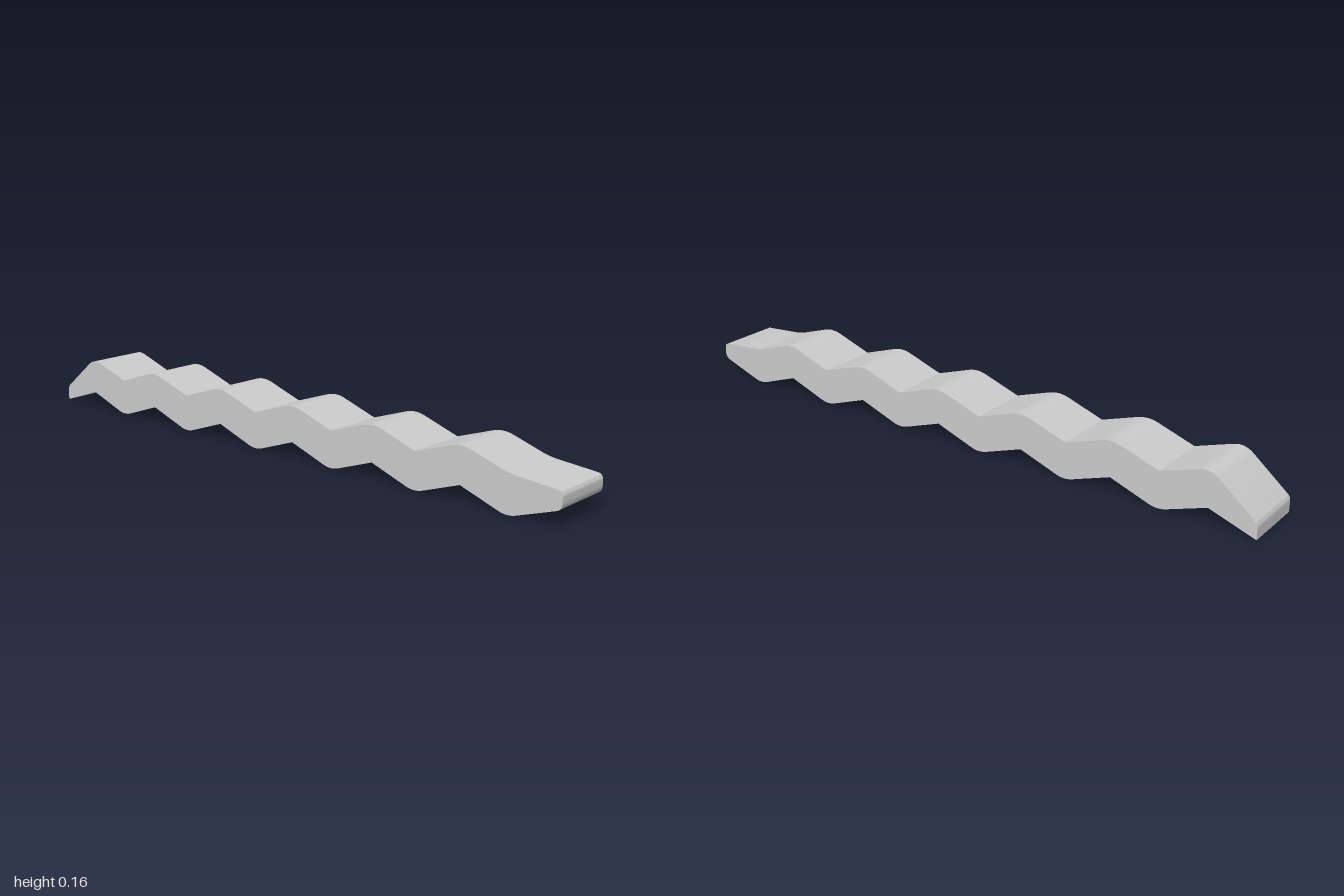
import * as THREE from 'three';
import { toCreasedNormals } from 'three/addons/utils/BufferGeometryUtils.js';

const PITCH = 0.307;   // length of one wave
const DEPTH = 0.2;

// Closed outline from [x, y, roundingLength] corners; zero rounding keeps a corner sharp
function roundedOutline(corners) {
  const pts = corners.map(([x, y]) => new THREE.Vector2(x, y));
  const n = pts.length;
  const toward = (a, b, d) => a.clone().add(b.clone().sub(a).setLength(d));
  const shape = new THREE.Shape();
  pts.forEach((p, i) => {
    const r = corners[i][2];
    const start = r ? toward(p, pts[(i + n - 1) % n], r) : p;
    if (i === 0) shape.moveTo(start.x, start.y);
    else shape.lineTo(start.x, start.y);
    if (r) {
      const end = toward(p, pts[(i + 1) % n], r);
      shape.quadraticCurveTo(p.x, p.y, end.x, end.y);
    }
  });
  shape.closePath();
  return shape;
}

export function createModel() {
  const group = new THREE.Group();
  group.name = 'zigzagStrip';

  // Underside, left to right on the front: sharp crests, rounded troughs
  const corners = [[-1, 0, 0]];
  for (let i = 0; i < 6; i++) {
    corners.push([-0.853 + i * PITCH, 0.05, 0]);
    corners.push([-0.7 + i * PITCH, -0.004, 0.03]);
  }
  // Blunt rounded end
  corners.push([1, 0.052, 0.018], [1, 0.103, 0.018], [0.835, 0.117, 0.03]);
  // Upper side, running back: rounded crests, sharp valleys
  for (let i = 5; i >= 0; i--) {
    corners.push([-0.853 + i * PITCH, 0.167, 0.036]);
    if (i > 0) corners.push([-0.7 + (i - 1) * PITCH, 0.115, 0]);
  }
  // Sloped end
  corners.push([-1, 0.046, 0.012]);

  const geometry = new THREE.ExtrudeGeometry(roundedOutline(corners), {
    depth: DEPTH, bevelEnabled: false, curveSegments: 8,
  });
  geometry.translate(0, 0, -DEPTH / 2);

  const strip = new THREE.Mesh(
    toCreasedNormals(geometry, 0.5),
    new THREE.MeshStandardMaterial({ color: 0xcccccc })
  );
  strip.name = 'wavyStrip';
  group.add(strip);
  return group;
}
